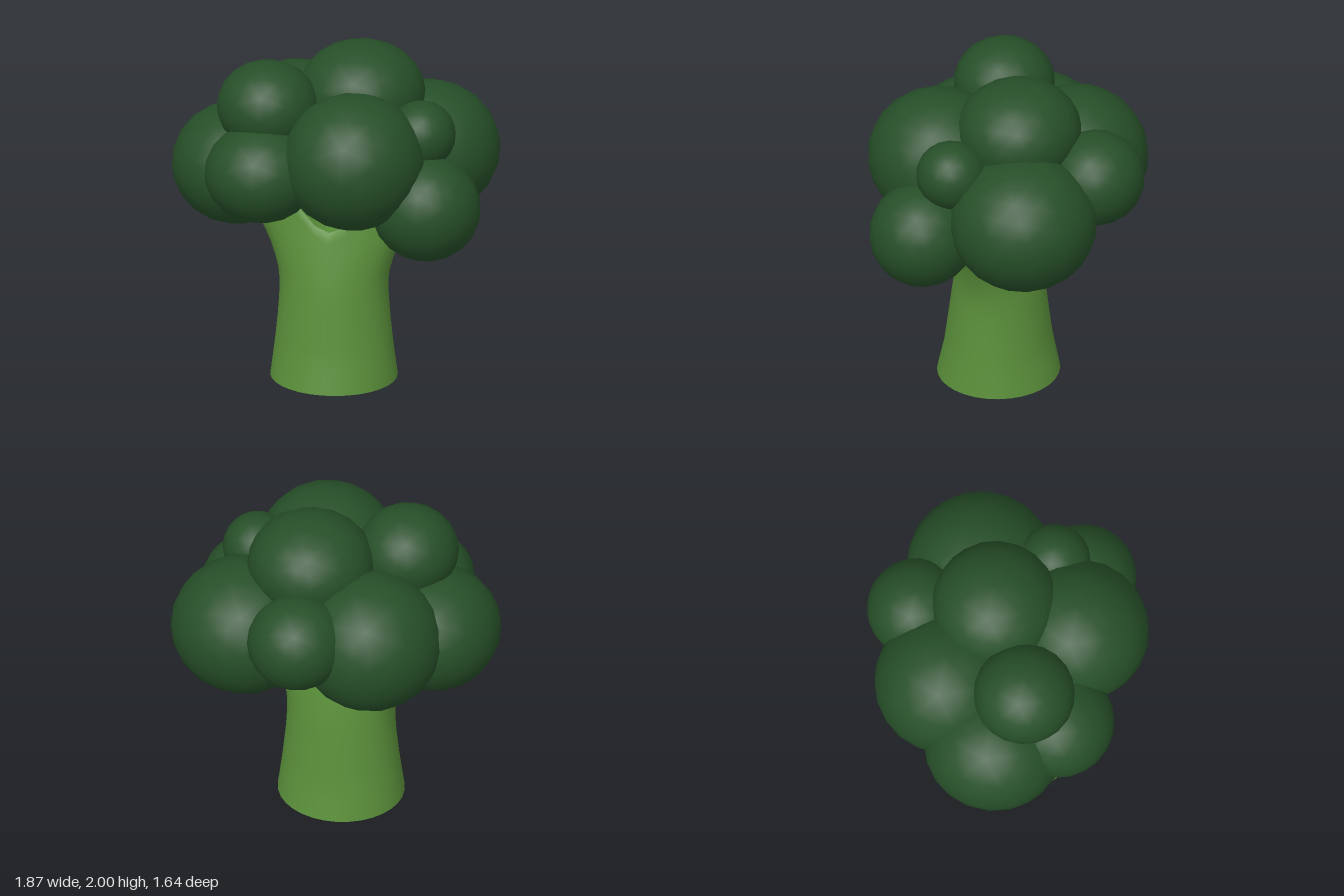
import * as THREE from 'three';

// Stalk cross-sections: height, half width, half depth
const SECTIONS = [
  [0, 0.37, 0.355], [0.2, 0.345, 0.31], [0.4, 0.325, 0.283], [0.57, 0.315, 0.26],
  [0.68, 0.328, 0.24], [0.8, 0.365, 0.213], [0.88, 0.4, 0.195], [0.95, 0.44, 0.175],
  [1.08, 0.5, 0.155], [1.2, 0.53, 0.14],
];

// Florets: name, centre, radii
const FLORETS = [
  ['topFloret', [0.15, 1.7, -0.08], [0.37, 0.3, 0.365]],
  ['frontFloret', [0.19, 1.45, 0.4], [0.415, 0.4, 0.42]],
  ['frontRightFloret', [-0.35, 1.35, 0.42], [0.33, 0.29, 0.325]],
  ['upperRightFloret', [-0.35, 1.69, 0.215], [0.295, 0.265, 0.295]],
  ['sideRightFloret', [-0.55, 1.27, 0.08], [0.385, 0.355, 0.405]],
  ['backRightFloret', [-0.26, 1.36, -0.27], [0.425, 0.41, 0.42]],
  ['backLeftFloret', [0.5, 1.31, -0.25], [0.43, 0.395, 0.43]],
  ['backFloret', [0.1, 1.46, -0.54], [0.29, 0.275, 0.285]],
  ['smallLeftFloret', [0.55, 1.56, 0.18], [0.2, 0.2, 0.205]],
  ['lowerLeftFloret', [0.605, 1.165, 0.335], [0.32, 0.31, 0.31]],
];

function radiiAt(y) {
  let i = 0;
  while (i < SECTIONS.length - 2 && y > SECTIONS[i + 1][0]) i++;
  const [a, b] = [SECTIONS[i], SECTIONS[i + 1]];
  const t = (y - a[0]) / (b[0] - a[0]);
  return [THREE.MathUtils.lerp(a[1], b[1], t), THREE.MathUtils.lerp(a[2], b[2], t)];
}

// Flared stalk whose rim rises on both sides, closed by a saddle to form the fork
function stalkGeometry() {
  const sides = 32, wallRows = 16, capRows = 8;
  const cx = 0.02, cz = 0.1, forkY = 0.94;
  const forkHeight = (c) => forkY + Math.min(0.25, c * c);
  const positions = [], index = [];
  for (let r = 0; r <= wallRows + capRows; r++) {
    const s = r <= wallRows ? 1 : 1 - (r - wallRows) / capRows;
    for (let i = 0; i < sides; i++) {
      const angle = (i / sides) * Math.PI * 2;
      const c = Math.cos(angle);
      const rim = forkHeight(c);
      const wallY = rim * Math.min(1, r / wallRows);
      const [rx, rz] = radiiAt(wallY);
      const y = r <= wallRows ? wallY : forkHeight(c * s);
      positions.push(cx + c * rx * s, y, cz + Math.sin(angle) * rz * s);
    }
  }
  for (let r = 0; r < wallRows + capRows; r++) {
    for (let i = 0; i < sides; i++) {
      const j = (i + 1) % sides;
      const a = r * sides + i, b = r * sides + j;
      index.push(a, a + sides, b, b, a + sides, b + sides);
    }
  }
  const geometry = new THREE.BufferGeometry();
  geometry.setAttribute('position', new THREE.Float32BufferAttribute(positions, 3));
  geometry.setIndex(index);
  geometry.computeVertexNormals();
  return geometry;
}

export function createModel() {
  const model = new THREE.Group();
  model.name = 'broccoli';

  const stalkGreen = new THREE.MeshStandardMaterial({ color: 0x5a8f3a, side: THREE.DoubleSide });
  stalkGreen.name = 'stalkGreen';
  const floretGreen = new THREE.MeshStandardMaterial({ color: 0x264f28 });
  floretGreen.name = 'floretGreen';

  // Forked stalk, open underneath
  const stalk = new THREE.Mesh(stalkGeometry(), stalkGreen);
  stalk.name = 'stalk';
  model.add(stalk);

  // Crown of overlapping florets
  const crown = new THREE.Group();
  crown.name = 'crown';
  const ball = new THREE.IcosahedronGeometry(1, 3);
  for (const [name, centre, radii] of FLORETS) {
    const floret = new THREE.Mesh(ball, floretGreen);
    floret.name = name;
    floret.position.set(...centre);
    floret.scale.set(...radii);
    crown.add(floret);
  }
  model.add(crown);
  return model;
}
